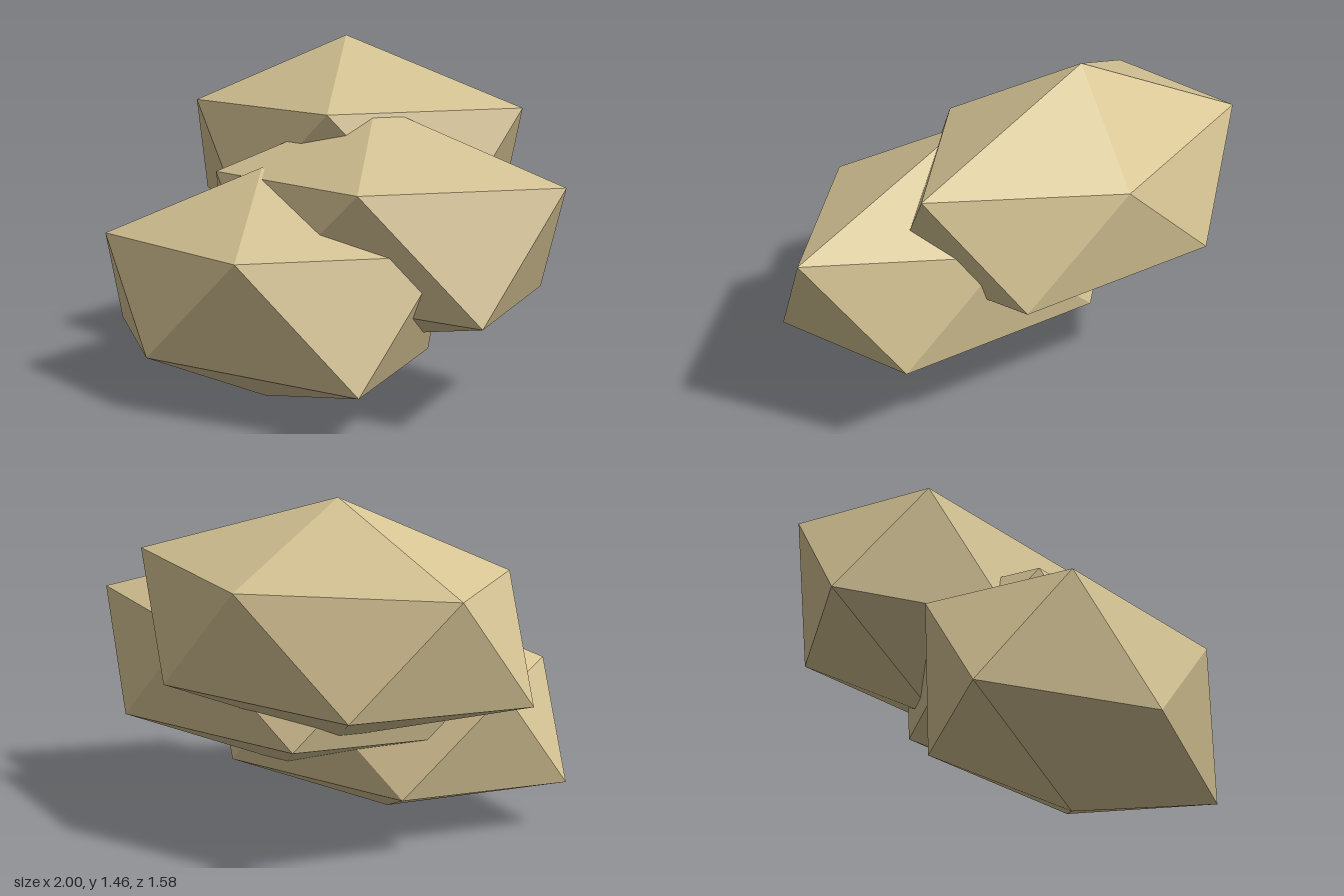
import * as THREE from 'three';

// One faceted stone: a stretched, slightly uneven 20-sided solid
function stoneGeometry() {
  const top = [-0.21, 0.96, 0.3];
  const bottom = [-0.21, 0, 0.3];
  // rings run counter-clockwise as seen from above
  const upper = [
    [0.65, 0.70, 0.3], [0.02, 0.66, -0.155], [-0.81, 0.67, -0.01],
    [-0.81, 0.67, 0.59], [0.03, 0.677, 0.785],
  ];
  const lower = [
    [0.40, 0.23, 0], [-0.45, 0.227, -0.19], [-1, 0.22, 0.3],
    [-0.44, 0.235, 0.765], [0.49, 0.2, 0.637],
  ];
  const points = [];
  for (let i = 0; i < 5; i++) {
    const j = (i + 1) % 5;
    points.push(top, upper[i], upper[j]);
    points.push(upper[i], lower[i], upper[j]);
    points.push(lower[i], lower[j], upper[j]);
    points.push(bottom, lower[j], lower[i]);
  }
  const geometry = new THREE.BufferGeometry();
  geometry.setAttribute('position', new THREE.Float32BufferAttribute(points.flat(), 3));
  geometry.computeVertexNormals();
  return geometry;
}

export function createModel() {
  const group = new THREE.Group();
  group.name = 'stonePile';
  const sandstone = new THREE.MeshStandardMaterial({ color: 0xd6c494 });
  sandstone.name = 'sandstone';
  sandstone.flatShading = true;

  // Three equal stones stepping up towards the back
  const geometry = stoneGeometry();
  const stones = [
    ['frontStone', 0, 0, 0],
    ['middleStone', 0.35, 0.25, -0.3],
    ['backStone', 0, 0.5, -0.6],
  ];
  for (const [name, x, y, z] of stones) {
    const stone = new THREE.Mesh(geometry, sandstone);
    stone.name = name;
    stone.position.set(x, y, z);
    group.add(stone);
  }
  return group;
}
